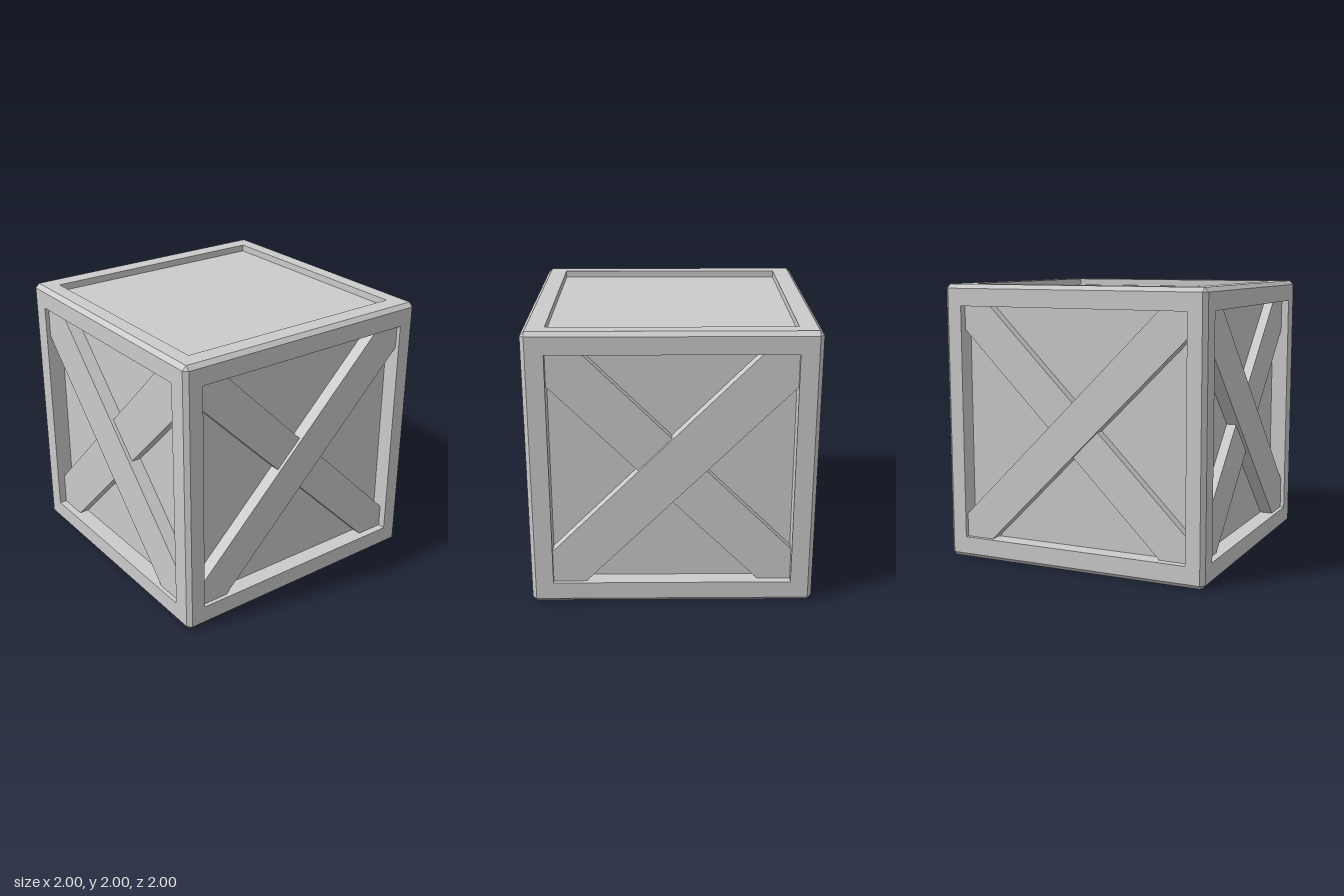
import * as THREE from 'three';
import { ConvexGeometry } from 'three/addons/geometries/ConvexGeometry.js';

const BEVEL = 0.03;                       // chamfer on all outer edges
const INNER = { x: 0.845, y: 0.845, z: 0.865 }; // half sizes of the openings
const material = new THREE.MeshStandardMaterial({ color: 0xcccccc, flatShading: true });

function add(parent, name, geometry) {
  const mesh = new THREE.Mesh(geometry, material);
  mesh.name = name;
  parent.add(mesh);
  return mesh;
}

// Beam along one axis at the edge where axes a and b have signs sa and sb
function beamGeometry(axis, a, b, sa, sb) {
  const c = 1 - BEVEL;
  const section = [[INNER[a], INNER[b]], [1, INNER[b]], [1, c], [c, 1], [INNER[a], 1]];
  const points = [];
  for (const end of [-c, c]) {
    for (const [u, v] of section) {
      const p = new THREE.Vector3();
      p[axis] = end;
      p[a] = u * sa;
      p[b] = v * sb;
      points.push(p);
    }
  }
  return new ConvexGeometry(points);
}

// Diagonal plank running from upper left to lower right, cut to the opening
function braceGeometry(w, h, band, flip, front) {
  const back = 0.85;
  const outline = [
    [w, -h], [w, band - w], [band - h, h],
    [-w, h], [-w, w - band], [h - band, -h],
  ].map(([x, y]) => new THREE.Vector2(x * flip, y));
  return new THREE.ExtrudeGeometry(new THREE.Shape(outline), { depth: front - back, bevelEnabled: false })
    .translate(0, 0, back);
}

export function createModel() {
  const crate = new THREE.Group();
  crate.name = 'crate';
  const body = new THREE.Group();
  body.name = 'crateBody';
  body.position.y = 1;
  crate.add(body);

  // Recessed panels: deep on the sides, shallow on top and bottom
  add(body, 'panels', new THREE.BoxGeometry(1.75, 1.9, 1.75));

  // Twelve chamfered frame beams
  for (const [axis, a, b] of [['x', 'y', 'z'], ['y', 'x', 'z'], ['z', 'x', 'y']]) {
    for (const sa of [-1, 1]) {
      for (const sb of [-1, 1]) add(body, 'frameBeam', beamGeometry(axis, a, b, sa, sb));
    }
  }

  // Clipped corners that close the frame
  const c = 1 - BEVEL;
  for (const x of [-1, 1]) for (const y of [-1, 1]) for (const z of [-1, 1]) {
    const corner = [[c, c, c], [1, c, c], [c, 1, c], [c, c, 1]]
      .map((p) => new THREE.Vector3(p[0] * x, p[1] * y, p[2] * z));
    add(body, 'frameCorner', new ConvexGeometry(corner));
  }

  // Crossed braces on the four sides; one plank lies over the other
  const sides = [
    ['front', 0, INNER.x, 0.235, 1],
    ['right', Math.PI / 2, INNER.z, 0.19, -1],
    ['back', Math.PI, INNER.x, 0.235, -1],
    ['left', -Math.PI / 2, INNER.z, 0.19, -1],
  ];
  for (const [name, turn, width, band, flip] of sides) {
    const cross = new THREE.Group();
    cross.name = name + 'Braces';
    cross.rotation.y = turn;
    add(cross, 'outerBrace', braceGeometry(width, INNER.y, band, flip, 0.97));
    add(cross, 'innerBrace', braceGeometry(width, INNER.y, band, -flip, 0.945));
    body.add(cross);
  }
  return crate;
}
